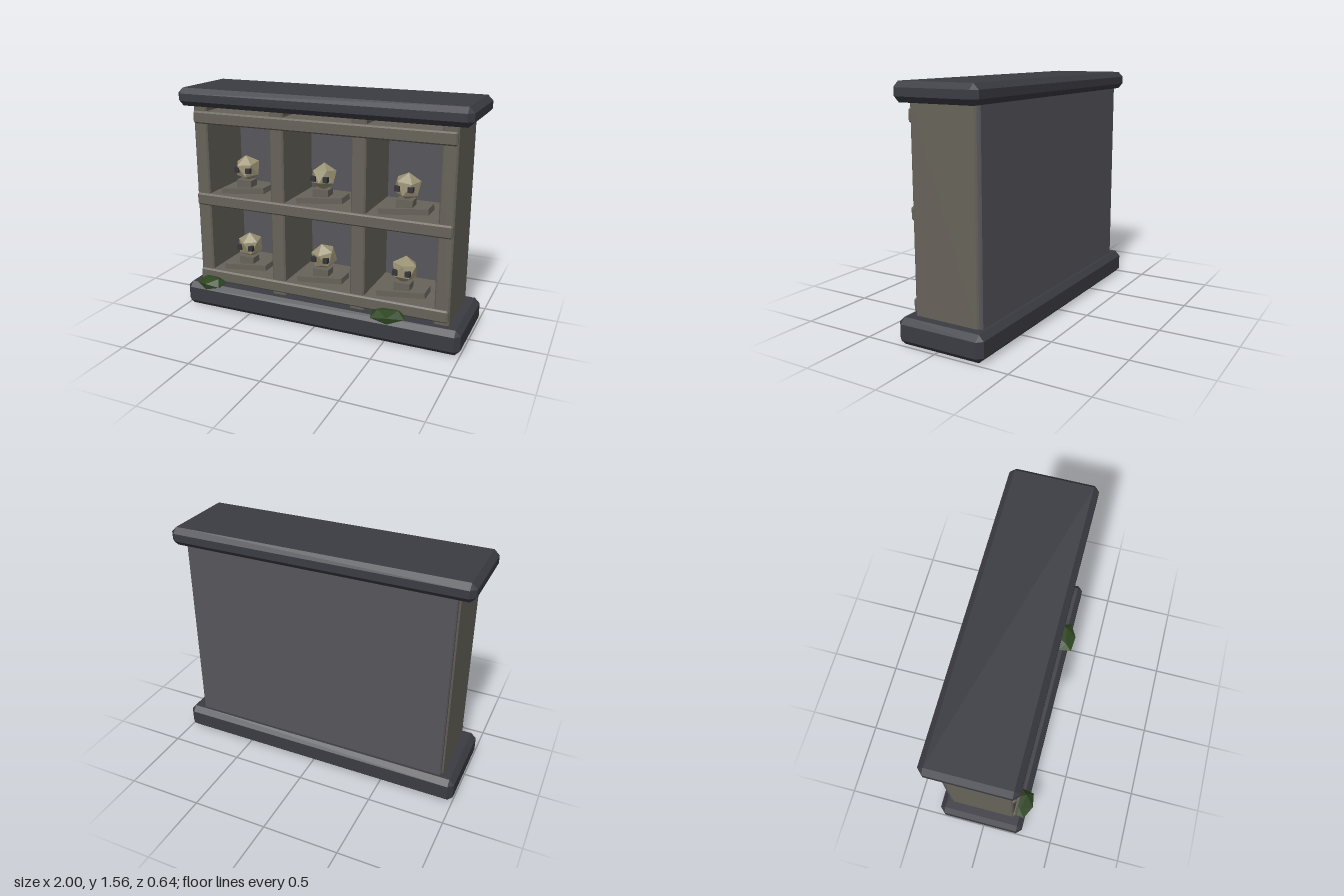
import * as THREE from 'three';
import { ConvexGeometry } from 'three/addons/geometries/ConvexGeometry.js';

const mat = (color) => new THREE.MeshStandardMaterial({ color, flatShading: true });
const slabMat = mat(0x3b3c43), stoneMat = mat(0x67635a), panelMat = mat(0x56555b);
const boneMat = mat(0x9a9274), socketMat = mat(0x34343a), mossMat = mat(0x2c4420);

// Box with every edge chamfered by c, given by its min and max corners
function chamferBox(name, min, max, c, material) {
  const size = max.map((v, i) => (v - min[i]) / 2);
  const points = [];
  for (const sx of [-1, 1]) for (const sy of [-1, 1]) for (const sz of [-1, 1]) {
    for (let full = 0; full < 3; full++) {
      const p = [sx, sy, sz].map((s, i) => s * (size[i] - (i === full ? 0 : c)));
      points.push(new THREE.Vector3(...p));
    }
  }
  const mesh = new THREE.Mesh(new ConvexGeometry(points), material);
  mesh.name = name;
  mesh.position.set(...max.map((v, i) => (v + min[i]) / 2));
  return mesh;
}

function box(name, w, h, d, x, y, z, material) {
  const mesh = new THREE.Mesh(new THREE.BoxGeometry(w, h, d), material);
  mesh.name = name;
  mesh.position.set(x, y, z);
  return mesh;
}

// Faceted skull on a small jaw block and a tilted bone plank
function createSkull(x, shelfY, tilt) {
  const group = new THREE.Group();
  group.name = 'skullDisplay';
  group.position.set(x, shelfY, 0);

  const plank = box('plank', 0.33, 0.038, 0.13, 0, 0.035, 0.1, stoneMat);
  plank.rotation.z = 0.11;
  const jaw = box('jaw', 0.11, 0.07, 0.08, 0, 0.07, 0.1, stoneMat);

  const skull = new THREE.Mesh(new THREE.IcosahedronGeometry(0.092, 0), boneMat);
  skull.name = 'skull';
  skull.position.set(0, 0.18, 0.08);
  skull.rotation.set(...tilt);

  group.add(plank, jaw, skull);
  for (const s of [-1, 1]) {
    group.add(box('eyeSocket', 0.034, 0.034, 0.03, s * 0.043, 0.178, 0.15, socketMat));
  }
  return group;
}

function createMoss(x, halfWidth, turn) {
  const moss = new THREE.Mesh(new THREE.IcosahedronGeometry(1, 0), mossMat);
  moss.name = 'moss';
  moss.scale.set(halfWidth, 0.042, 0.09);
  moss.position.set(x, 0.19, 0.242);
  moss.rotation.set(0.15, turn, 0);
  return moss;
}

export function createModel() {
  const model = new THREE.Group();
  model.name = 'ossuaryWall';

  // Plinth and cap
  model.add(chamferBox('base', [-1, 0, -0.322], [1, 0.17, 0.278], 0.035, slabMat));
  model.add(chamferBox('cap', [-1, 1.44, -0.308], [1, 1.56, 0.265], 0.035, slabMat));

  // Back panel
  model.add(chamferBox('backPanel', [-0.9, 0.15, -0.27], [0.9, 1.46, -0.235], 0.008, panelMat));

  // Upright dividers
  for (const x of [-0.86, -0.287, 0.287, 0.86]) {
    model.add(chamferBox('divider', [x - 0.05, 0.15, -0.247], [x + 0.05, 1.46, 0.202], 0.01, stoneMat));
  }

  // Shelves
  for (const y of [0.19, 0.75, 1.322]) {
    model.add(chamferBox('shelf', [-0.905, y, -0.24], [0.905, y + 0.084, 0.22], 0.01, stoneMat));
  }

  // Skulls, one per niche
  const tilts = [
    [0.1, 0.2, 0.55], [0.2, -0.3, -0.4], [-0.1, 0.35, 0.5],
    [0.15, -0.1, 0.6], [-0.2, 0.3, -0.5], [0.05, -0.35, 0.45],
  ];
  [0.274, 0.834].forEach((y, row) => {
    [-0.573, 0, 0.573].forEach((x, col) => {
      model.add(createSkull(x, y, tilts[row * 3 + col]));
    });
  });

  // Moss on the plinth
  model.add(createMoss(-0.8, 0.112, -0.15), createMoss(0.52, 0.128, 0.2));

  return model;
}
